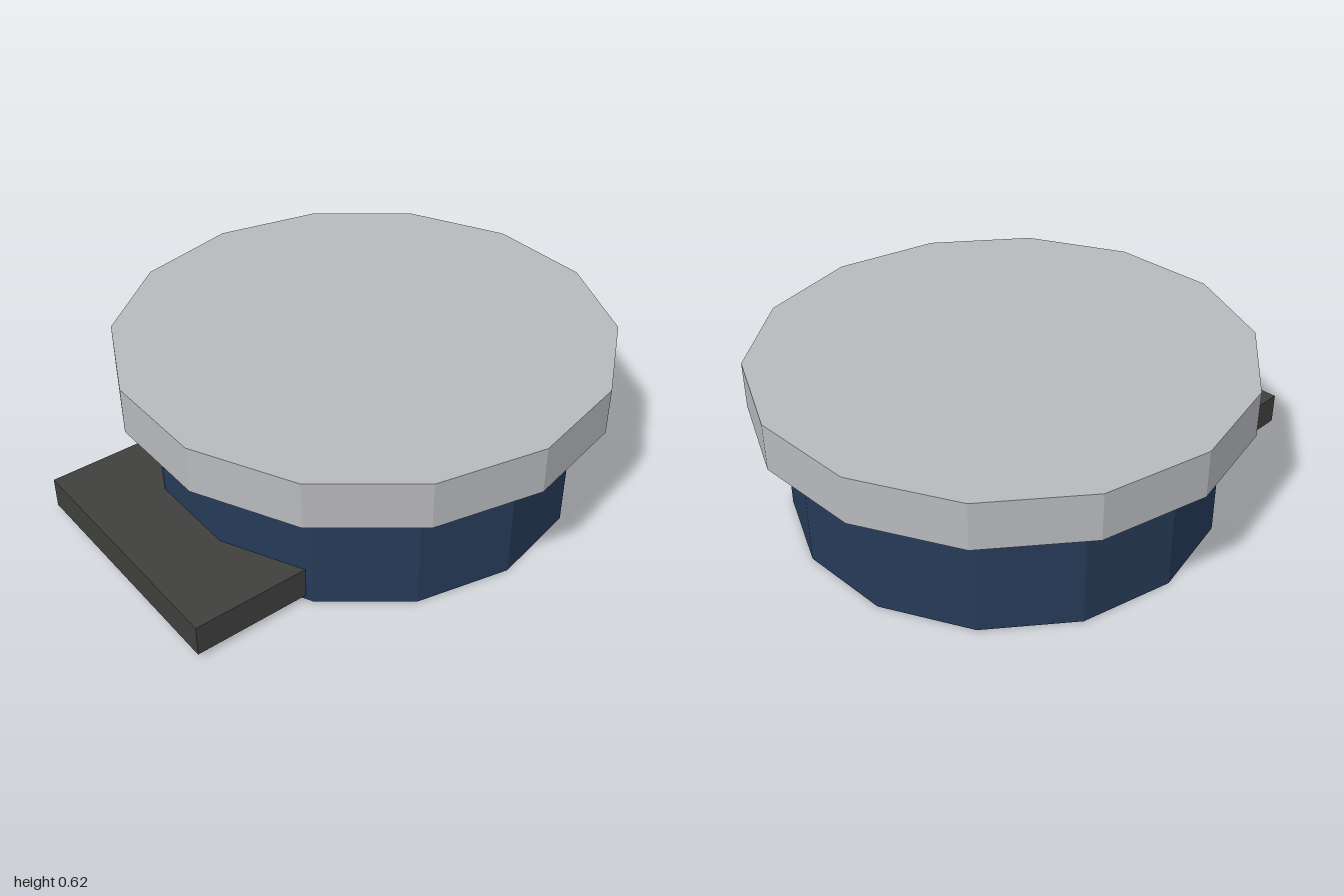
import * as THREE from 'three';

const SIDES = 14;
const CENTER_Z = -0.089;

function material(name, color) {
  const m = new THREE.MeshStandardMaterial({ color, flatShading: true });
  m.name = name;
  return m;
}

export function createModel() {
  const group = new THREE.Group();
  group.name = 'lowDrum';

  const navy = material('navy', 0x263b58);
  const lightGrey = material('lightGrey', 0xb8b9bd);
  const charcoal = material('charcoal', 0x3f3f3e);

  // Fourteen-sided disc with a corner on each side and a flat at the front
  const disc = (name, radius, y0, y1, mat) => {
    const geo = new THREE.CylinderGeometry(radius, radius, y1 - y0, SIDES, 1, false, Math.PI / 2);
    const mesh = new THREE.Mesh(geo, mat);
    mesh.name = name;
    mesh.position.set(0, (y0 + y1) / 2, CENTER_Z);
    group.add(mesh);
  };
  disc('body', 0.813, 0, 0.44, navy);
  disc('lid', 0.934, 0.44, 0.62, lightGrey);

  // Front step, its back end sunk into the body
  const step = new THREE.Mesh(new THREE.BoxGeometry(0.966, 0.12, 0.55), charcoal);
  step.name = 'frontStep';
  step.position.set(0, 0.078, 0.725);
  group.add(step);

  return group;
}
